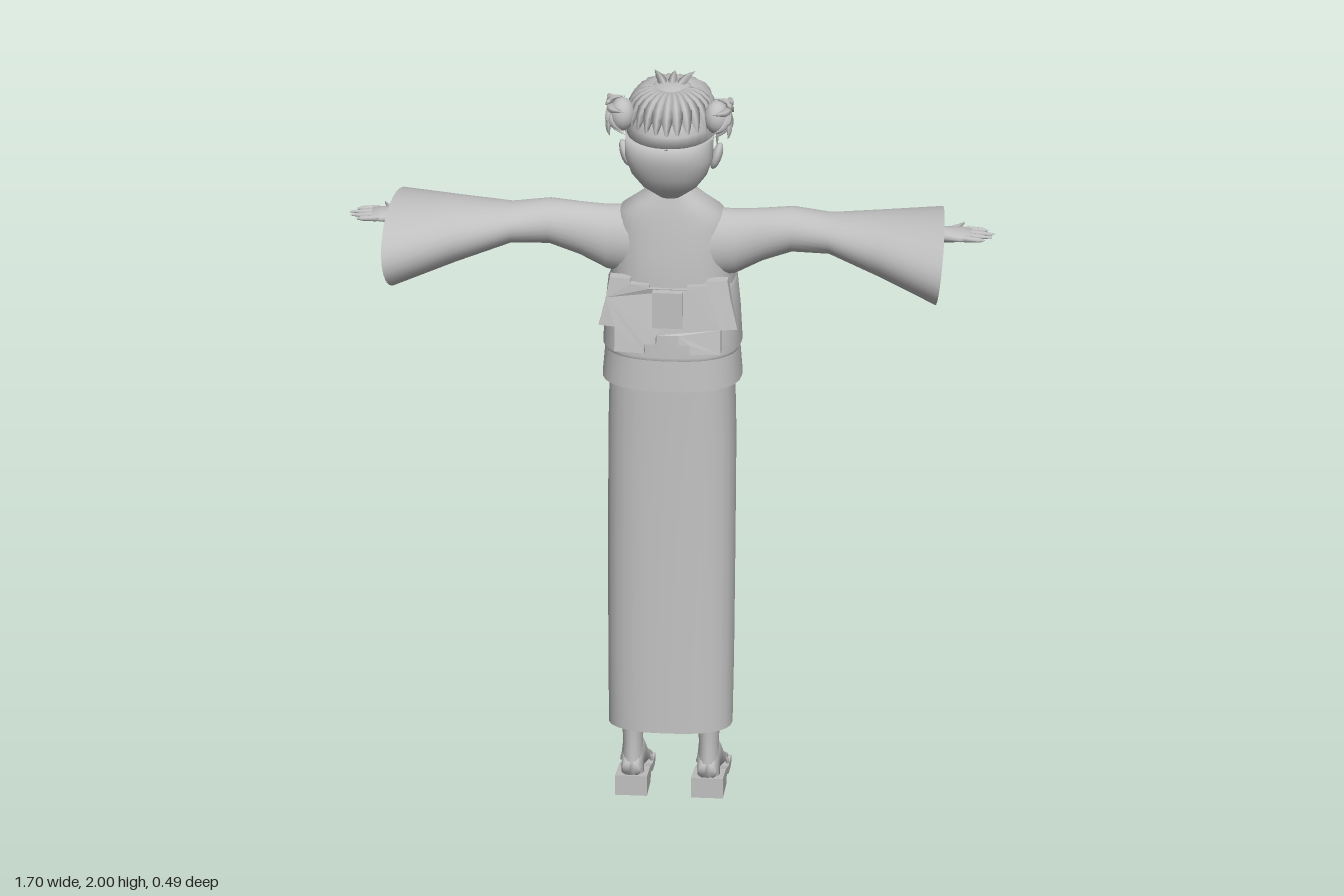
import * as THREE from 'three';

const grey = new THREE.MeshStandardMaterial({ color: 0xc0c0c0, side: THREE.DoubleSide });
grey.name = 'plain grey';

// Skin a list of equal-length rings of [x, y, z]; caps are optional, faces turned outward.
function skin(rings, capped = true) {
  const n = rings[0].length, pos = rings.flat(2), idx = [];
  rings.slice(1).forEach((_, r) => {
    for (let i = 0; i < n; i++) {
      const a = r * n + i, b = r * n + (i + 1) % n;
      idx.push(a, b, a + n, b, b + n, a + n);
    }
  });
  if (capped) {
    const last = (rings.length - 1) * n;
    for (let i = 1; i < n - 1; i++) idx.push(0, i + 1, i, last, last + i, last + i + 1);
  }
  // signed volume about the centre decides the winding
  const c = new THREE.Vector3(), v = i => new THREE.Vector3().fromArray(pos, i * 3);
  for (let i = 0; i < pos.length / 3; i++) c.addScaledVector(v(i), 3 / pos.length);
  let vol = 0;
  for (let i = 0; i < idx.length; i += 3) {
    const [p, q, s] = [0, 1, 2].map(k => v(idx[i + k]).sub(c));
    vol += p.dot(q.cross(s));
  }
  if (vol < 0) idx.reverse();
  const g = new THREE.BufferGeometry();
  g.setAttribute('position', new THREE.Float32BufferAttribute(pos, 3));
  g.setIndex(idx);
  g.computeVertexNormals();
  return g;
}

// Unit superellipse points
function oval(n, p = 2) {
  return Array.from({ length: n }, (_, i) => {
    const a = i / n * Math.PI * 2, f = t => Math.sign(t) * Math.abs(t) ** (2 / p);
    return [f(Math.cos(a)), f(Math.sin(a))];
  });
}
// Upright body: sections of [y, half width, front z, back z]
const upright = (secs, p = 2, capped = true, x = 0, n = 28) => skin(secs.map(([y, w, f, b]) =>
  oval(n, p).map(([u, v]) => [x + u * w, y, (f + b) / 2 + v * (b - f) / 2])), capped);
// Sideways limb: sections of [x, low y, high y, front z, back z, slant]
const sideways = (s, secs, capped, n = 24) => skin(secs.map(([x, y0, y1, f, b, k = 0]) =>
  oval(n).map(([u, v]) => {
    const y = (y0 + y1) / 2 + v * (y1 - y0) / 2, z = (f + b) / 2 + u * (b - f) / 2;
    return [s * (x + k * (0.1 * z + 0.13 * (y - 1.57))), y, z];
  })), capped);

// Tapered lock of hair along a curve, flattened against a centre point
function lock(points, width, thick, centre) {
  const curve = new THREE.QuadraticBezierCurve3(...points.map(p => new THREE.Vector3(...p)));
  const rings = [];
  for (let i = 0; i <= 6; i++) {
    const t = i / 6, p = curve.getPoint(t), tan = curve.getTangent(t);
    const side = new THREE.Vector3().crossVectors(tan, p.clone().sub(centre)).normalize();
    const out = new THREE.Vector3().crossVectors(side, tan).normalize();
    const w = Math.max(0.03, Math.sin(Math.PI * (0.25 + 0.75 * t)));
    rings.push([[1, 0], [0, 1], [-1, 0], [0, -1]].map(([u, v]) => p.clone()
      .addScaledVector(side, u * width * w).addScaledVector(out, v * thick * w).toArray()));
  }
  return skin(rings);
}

export function createModel() {
  const model = new THREE.Group();
  const add = (name, geo, parent = model) => {
    const m = new THREE.Mesh(geo, grey);
    m.name = name;
    parent.add(m);
    return m;
  };
  const group = name => {
    const g = new THREE.Group();
    g.name = name;
    model.add(g);
    return g;
  };

  // Robe
  add('skirt', upright([[1.2, .165, -.2, .03], [1.0, .169, -.2, .034], [.7, .168, -.175, .045],
    [.4, .166, -.155, .057], [.2, .163, -.14, .066]], 2.5, false));
  add('jacket', upright([[1.165, .184, -.235, .054], [1.26, .176, -.235, .047], [1.36, .168, -.234, .038],
    [1.46, .163, -.234, .033], [1.53, .16, -.226, .028], [1.6, .152, -.182, .016],
    [1.64, .135, -.153, .01], [1.67, .095, -.133, .003], [1.705, .05, -.118, -.006]], 2.5, false));
  add('sash', upright([[1.25, .178, -.237, .049], [1.26, .183, -.243, .052], [1.35, .178, -.243, .045],
    [1.43, .17, -.243, .04], [1.44, .162, -.233, .033]], 2.5, false));

  // Stepped bow leaning off the back
  const half = [[.05, 1.452], [.05, 1.462], [.1, 1.462], [.1, 1.475], [.155, 1.475], [.165, 1.42], [.183, 1.345],
    [.14, 1.345], [.14, 1.28], [.06, 1.28], [.06, 1.305], [.03, 1.305], [.03, 1.33]];
  const outline = [...half, ...half.map(([x, y]) => [-x, y]).reverse()];
  const bow = new THREE.ExtrudeGeometry(new THREE.Shape(outline.map(p => new THREE.Vector2(...p))),
    { depth: .03, bevelEnabled: false });
  const bp = bow.attributes.position;
  for (let i = 0; i < bp.count; i++) {
    bp.setZ(i, bp.getZ(i) + .01 + (1.475 - bp.getY(i)) * .18 - 0.6 * bp.getX(i) ** 2);
  }
  bow.computeVertexNormals();
  add('bow', bow);
  add('bowKnot', new THREE.BoxGeometry(.08, .1, .04)).position.set(0, 1.4, .045);

  // Head and neck
  add('neck', upright([[1.6, .06, -.13, -.005], [1.68, .045, -.112, -.01], [1.78, .045, -.12, 0]]));
  add('head', upright([[1.688, .018, -.165, -.125], [1.7, .04, -.174, -.09], [1.725, .068, -.177, -.03],
    [1.76, .094, -.18, .03], [1.8, .107, -.179, .06], [1.86, .112, -.186, .078],
    [1.92, .104, -.18, .07], [1.97, .07, -.15, .03]], 2.1));
  const nose = add('nose', new THREE.ConeGeometry(.011, .03, 8));
  nose.position.set(0, 1.765, -.182);
  nose.rotation.x = -.35;

  // Hair
  const hair = group('hair'), centre = new THREE.Vector3(0, 1.85, -.06);
  add('hairCap', upright([[1.865, .117, -.195, .09], [1.9, .116, -.198, .088], [1.935, .107, -.192, .074],
    [1.965, .085, -.177, .045], [1.985, .055, -.145, 0], [1.993, .02, -.1, -.045]], 2.1), hair);
  add('backHair', upright([[1.87, .117, -.1, .09], [1.82, .116, -.06, .087], [1.77, .1, -.06, .072],
    [1.73, .072, -.055, .045], [1.695, .03, -.05, .005]], 2.1), hair);
  const around = (a, y, k = 1) => [.121 * k * Math.sin(a), y, -.057 - .146 * k * Math.cos(a)];
  for (let i = 0; i < 15; i++) {
    const a = (i - 7) * .2, drop = Math.abs(a) > 1.1 ? .05 : (i % 3) * .014;
    add('fringe', lock([around(a, 1.985, .4), around(a, 1.985, 1.07),
      around(a + (i % 2 ? .08 : -.06), 1.845 - drop, 1)], .019, .01, centre), hair);
  }
  for (let i = 0; i < 13; i++) {
    const a = Math.PI + (i - 6) * .24;
    add('crownLock', lock([around(a, 1.985, .3), around(a, 1.985, .95), around(a, 1.89, .99)],
      .022, .008, centre), hair);
  }
  for (const x of [-.03, 0, .03]) {
    add('tuft', lock([[x * .3, 1.975, -.04], [x, 2.005, -.09], [x * 1.8, 1.992, -.16]], .013, .008, centre), hair);
  }

  for (const s of [1, -1]) {
    const label = s > 0 ? 'left' : 'right';
    // Ear
    const ear = add(label + 'Ear', new THREE.SphereGeometry(1, 12, 10));
    ear.scale.set(.014, .038, .026);
    ear.position.set(s * .12, 1.8, -.048);
    ear.rotation.z = -s * .3;

    // Hair bun with loose ends
    const bunHair = group(label + 'Bun'), bc = new THREE.Vector3(s * .125, 1.93, .002);
    const bun = add('bun', new THREE.SphereGeometry(1, 14, 10), bunHair);
    bun.scale.set(.034, .045, .04);
    bun.position.copy(bc);
    for (let i = 0; i < 12; i++) {
      const a = i / 12 * Math.PI * 2, c = Math.cos(a), d = Math.sin(a);
      add('bunLock', lock([[s * .155, 1.955 + .008 * c, .01 * d], [s * .165, 1.935 + .045 * c, .05 * d],
        [s * (.115 + .04 * (i % 2)), 1.925 + .055 * c, .052 * d]], .012, .008, bc), bunHair);
    }

    // Sleeve and arm
    add(label + 'Sleeve', sideways(s, [[.1, 1.45, 1.64, -.15, .005], [.17, 1.465, 1.64, -.135, -.003],
      [.24, 1.505, 1.647, -.125, 0], [.32, 1.538, 1.656, -.122, .01], [.42, 1.54, 1.643, -.125, .025],
      [.56, 1.503, 1.66, -.153, .12, .4], [.712, 1.46, 1.678, -.193, .243, 1]], false, 28));
    const hand = group(label + 'Hand');
    add('palm', sideways(s, [[.4, 1.57, 1.62, -.085, -.035], [.69, 1.576, 1.612, -.08, -.04],
      [.72, 1.575, 1.613, -.095, -.03], [.765, 1.582, 1.61, -.104, -.016], [.79, 1.587, 1.606, -.1, -.02]], true, 14), hand);
    for (let i = 0; i < 4; i++) {
      const z = -.095 + i * .023, end = [.832, .85, .846, .828][i];
      add('finger', sideways(s, [[.775, 1.588, 1.606, z - .01, z + .01], [.815, 1.589, 1.603, z - .007, z + .009],
        [end, 1.593, 1.597, z - .002, z + .004]], true, 8), hand);
    }
    add('thumb', sideways(s, [[.725, 1.583, 1.605, -.1, -.065], [.75, 1.584, 1.602, -.125, -.1],
      [.764, 1.59, 1.596, -.152, -.146]], true, 8), hand);

    // Leg, foot and sandal
    const x = s * .1;
    add(label + 'Leg', upright([[.6, .045, -.1, .01], [.3, .037, -.09, .005], [.2, .03, -.082, 0],
      [.14, .026, -.078, -.002], [.09, .029, -.085, .006], [.05, .03, -.08, .008]], 2, true, x, 16));
    add(label + 'Foot', skin([[.005, .05, .09, .024], [-.035, .045, .145, .03], [-.08, .04, .142, .031],
      [-.12, .03, .095, .035], [-.17, .025, .06, .039], [-.205, .024, .046, .036], [-.222, .025, .034, .022]]
      .map(([z, y0, y1, w]) => oval(14, 2.3).map(([u, v]) =>
        [x + u * w, (y0 + y1) / 2 + v * (y1 - y0) / 2, z]))));
    const side = [[-.015, 0], [-.015, .055], [.08, .045], [.15, .026], [.23, .024], [.23, .006], [.2, 0],
      [.15, .004], [.1, .022], [.085, 0]].map(p => new THREE.Vector2(...p));
    const sandal = add(label + 'Sandal', new THREE.ExtrudeGeometry(new THREE.Shape(side),
      { depth: .084, bevelEnabled: false }));
    sandal.rotation.y = Math.PI / 2;
    sandal.position.x = x - .042;
    const strap = add(label + 'Strap', new THREE.TorusGeometry(.039, .005, 6, 16, Math.PI));
    strap.position.set(x, .035, -.15);
    strap.rotation.x = .3;
  }
  return model;
}
